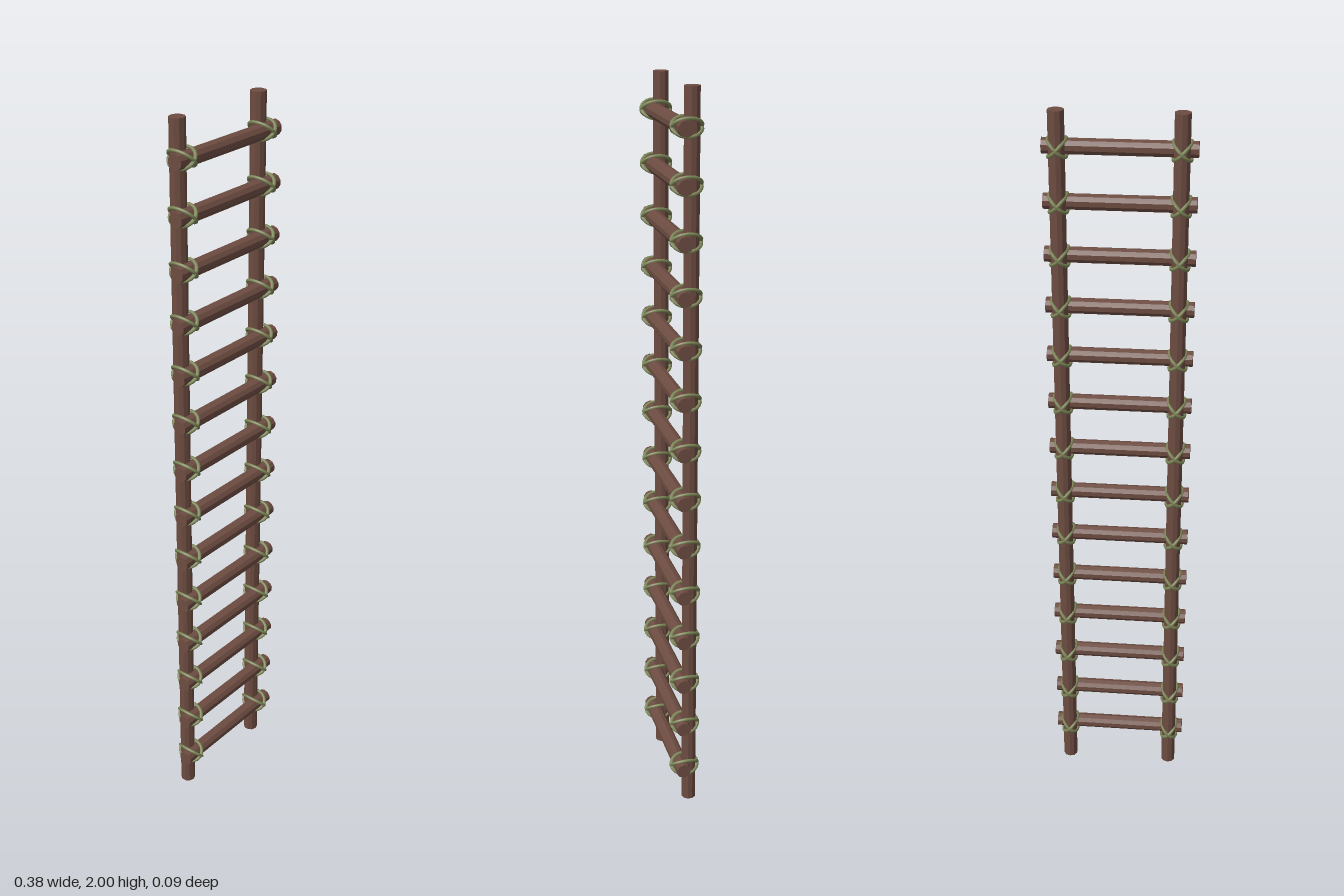
import * as THREE from 'three';

export function createModel() {
  const group = new THREE.Group();
  const wood = new THREE.MeshStandardMaterial({ color: 0x6d4c41, flatShading: true });
  const rope = new THREE.MeshStandardMaterial({ color: 0x7a8455 });

  const railX = 0.15, rungCount = 14, firstY = 0.11, lastY = 1.905;

  const railGeo = new THREE.CylinderGeometry(0.0205, 0.0205, 2, 10);
  const rungGeo = new THREE.CylinderGeometry(0.0205, 0.0205, 0.378, 10)
    .rotateY(Math.PI / 2)
    .rotateZ(Math.PI / 2);
  // Oval loop lying flat, long axis front to back
  const loopGeo = new THREE.TorusGeometry(0.031, 0.0045, 8, 24)
    .rotateX(Math.PI / 2)
    .scale(1, 1, 1.2);

  function add(parent, name, geometry, material, x, y, z, tilt = 0) {
    const mesh = new THREE.Mesh(geometry, material);
    mesh.name = name;
    mesh.position.set(x, y, z);
    mesh.rotation.z = tilt;
    parent.add(mesh);
  }

  // Upright poles
  add(group, 'leftRail', railGeo, wood, railX, 1, -0.014);
  add(group, 'rightRail', railGeo, wood, -railX, 1, -0.014);

  // Rungs, each tied to both poles with crossed rope loops
  for (let i = 0; i < rungCount; i++) {
    const y = firstY + (lastY - firstY) * i / (rungCount - 1);
    add(group, `rung${i + 1}`, rungGeo, wood, 0, y, 0.01);
    for (const side of [1, -1]) {
      const lashing = new THREE.Group();
      lashing.name = `${side > 0 ? 'left' : 'right'}Lashing${i + 1}`;
      lashing.position.set(side * railX, y, -0.001);
      for (const dir of [1, -1]) {
        add(lashing, 'ropeLoop', loopGeo, rope, 0, 0, 0, dir * Math.PI / 4);
      }
      group.add(lashing);
    }
  }
  return group;
}
